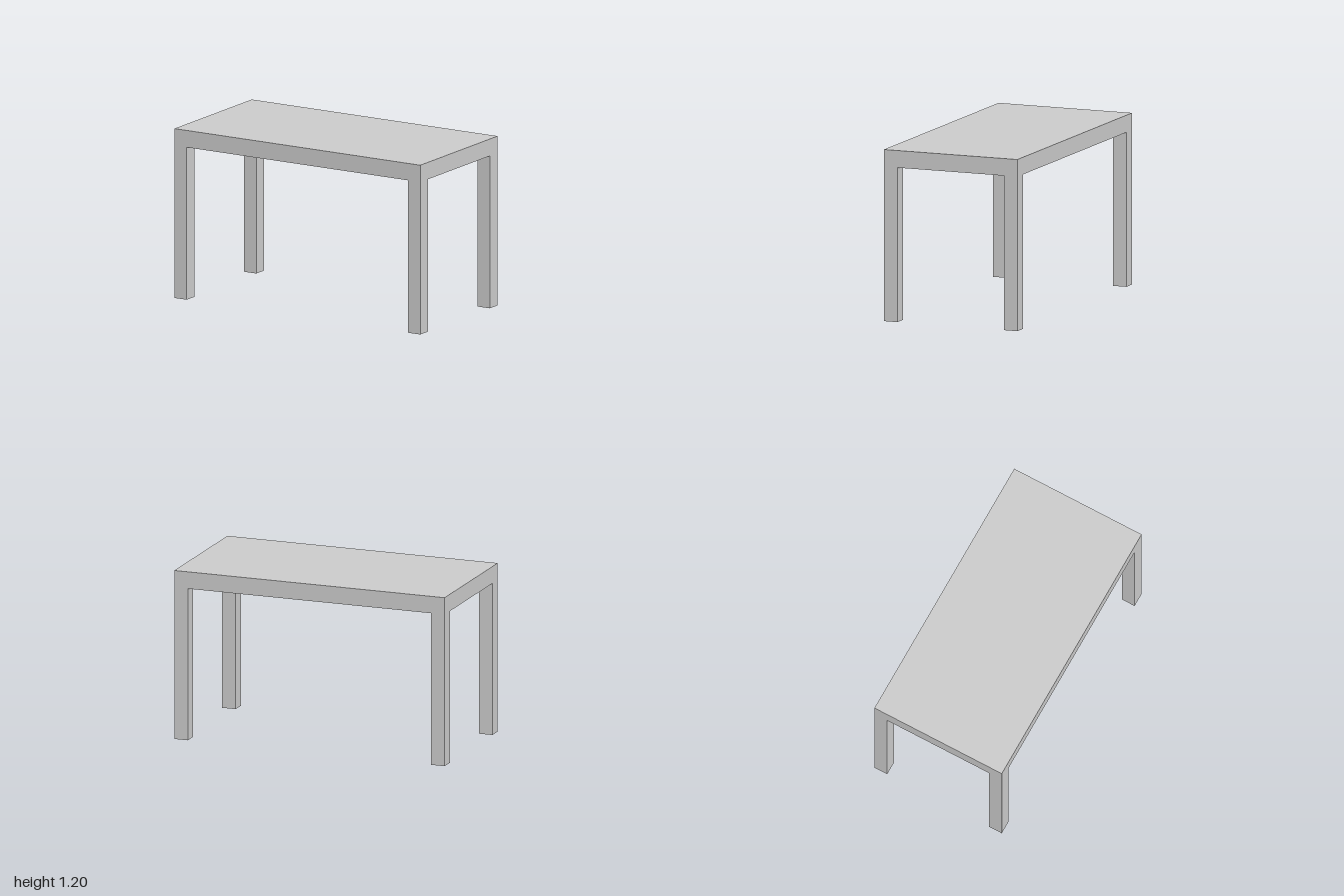
import * as THREE from 'three';

const WIDTH = 2, DEPTH = 1, HEIGHT = 1.2;
const TOP = 0.12, LEG = 0.1;

export function createModel() {
  const table = new THREE.Group();
  table.name = 'table';
  const material = new THREE.MeshStandardMaterial({ color: 0xcccccc });

  const addBox = (name, w, h, d, x, y, z) => {
    const mesh = new THREE.Mesh(new THREE.BoxGeometry(w, h, d), material);
    mesh.name = name;
    mesh.position.set(x, y, z);
    table.add(mesh);
  };

  // Solid slab top
  addBox('tableTop', WIDTH, TOP, DEPTH, 0, HEIGHT - TOP / 2, 0);

  // Four square legs, flush with the corners
  const legHeight = HEIGHT - TOP;
  for (const [side, sx] of [['Left', 1], ['Right', -1]]) {
    for (const [end, sz] of [['front', 1], ['back', -1]]) {
      addBox(`${end}${side}Leg`, LEG, legHeight, LEG,
        sx * (WIDTH - LEG) / 2, legHeight / 2, sz * (DEPTH - LEG) / 2);
    }
  }
  return table;
}
